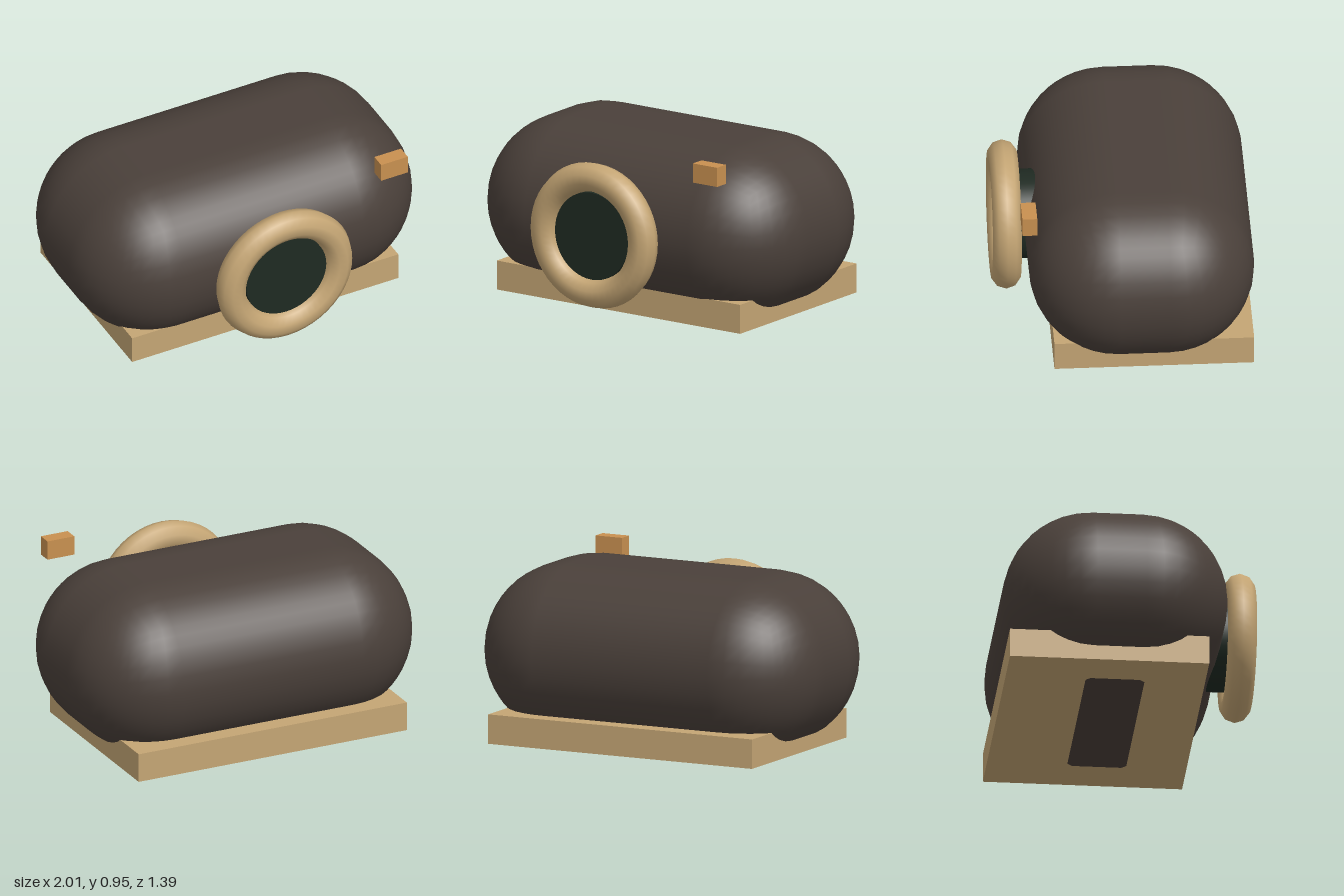
import * as THREE from 'three';
import { RoundedBoxGeometry } from 'three/addons/geometries/RoundedBoxGeometry.js';

const paint = (name, color) => {
  const m = new THREE.MeshStandardMaterial({ color });
  m.name = name;
  return m;
};

export function createModel() {
  const group = new THREE.Group();
  const darkBrown = paint('darkBrown', 0x4a403a);
  const tan = paint('tan', 0xc4a574);
  const darkGreen = paint('darkGreen', 0x1f2a22);
  const copper = paint('copper', 0xc89050);

  const add = (name, geometry, material, x, y, z) => {
    const mesh = new THREE.Mesh(geometry, material);
    mesh.name = name;
    mesh.position.set(x, y, z);
    group.add(mesh);
    return mesh;
  };

  // Pill-shaped body, rounded over its full height
  add('body', new RoundedBoxGeometry(2.008, 0.943, 1.208, 5, 0.471), darkBrown, 0, 0.469, -0.09);

  // Flat foot under the body
  add('base', new THREE.BoxGeometry(1.6, 0.16, 1.07), tan, 0, 0.08, -0.143);

  // Lens barrel and its ring on the front
  const lens = add('lens', new THREE.CylinderGeometry(0.24, 0.24, 0.24, 48), darkGreen, 0, 0.47, 0.52);
  lens.rotation.x = Math.PI / 2;
  add('lensRing', new THREE.TorusGeometry(0.32, 0.08, 10, 48), tan, 0, 0.47, 0.615);

  // Small block at the upper left of the front
  add('button', new THREE.BoxGeometry(0.16, 0.106, 0.08), copper, 0.69, 0.897, 0.522);

  return group;
}
